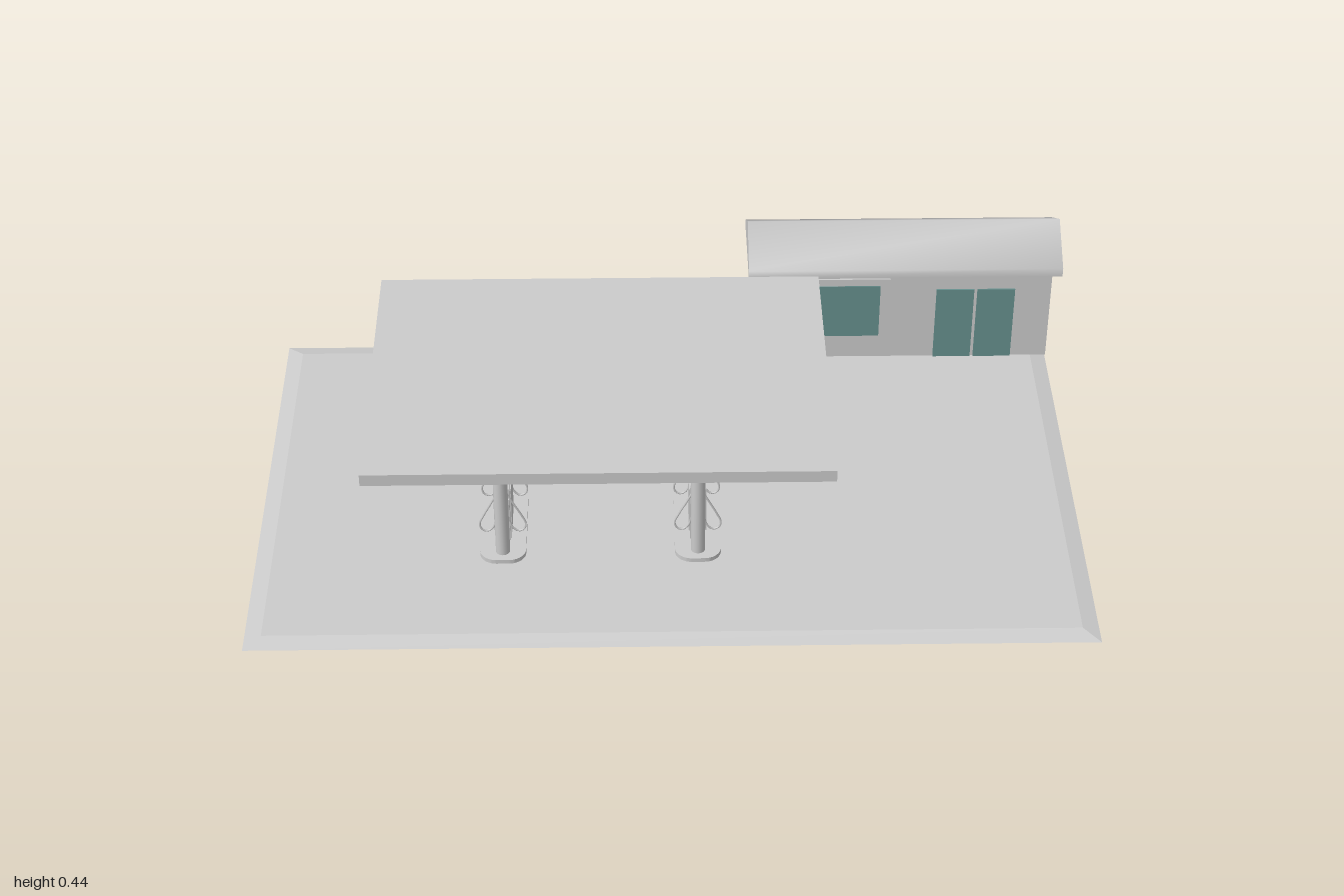
import * as THREE from 'three';
import { toCreasedNormals } from 'three/addons/utils/BufferGeometryUtils.js';

const grey = new THREE.MeshStandardMaterial({ color: 0xcccccc });
const glass = new THREE.MeshStandardMaterial({ color: 0x66908e });

function add(parent, name, geometry, material = grey) {
  const mesh = new THREE.Mesh(geometry, material);
  mesh.name = name;
  parent.add(mesh);
  return mesh;
}

// Box given by its minimum and maximum on each axis
function box(parent, name, [x0, x1], [y0, y1], [z0, z1], material) {
  const mesh = add(parent, name, new THREE.BoxGeometry(x1 - x0, y1 - y0, z1 - z0), material);
  mesh.position.set((x0 + x1) / 2, (y0 + y1) / 2, (z0 + z1) / 2);
  return mesh;
}

// Prism along x from a profile of [z, y] points
function prism(parent, name, profile, x0, x1, crease) {
  const shape = new THREE.Shape(profile.map(([z, y]) => new THREE.Vector2(-z, y)));
  const geometry = new THREE.ExtrudeGeometry(shape, { depth: x1 - x0, bevelEnabled: false });
  geometry.rotateY(Math.PI / 2).translate(x0, 0, 0);
  return add(parent, name, toCreasedNormals(geometry, crease));
}

// Rounded island slab lying flat
function islandGeometry(w, d, r, h) {
  const x = w / 2, y = d / 2;
  const s = new THREE.Shape();
  s.moveTo(-x + r, -y);
  s.lineTo(x - r, -y);
  s.absarc(x - r, -y + r, r, -Math.PI / 2, 0);
  s.absarc(x - r, y - r, r, 0, Math.PI / 2);
  s.absarc(-x + r, y - r, r, Math.PI / 2, Math.PI);
  s.absarc(-x + r, -y + r, r, Math.PI, Math.PI * 1.5);
  const g = new THREE.ExtrudeGeometry(s, { depth: h, bevelEnabled: false, curveSegments: 6 });
  return toCreasedNormals(g.rotateX(-Math.PI / 2), 0.6);
}

function pumpIsland() {
  const island = new THREE.Group();
  island.name = 'pumpIsland';
  add(island, 'islandBase', islandGeometry(0.11, 0.28, 0.04, 0.012)).position.set(0, 0.009, 0.23);

  for (const z of [0.13, 0.335]) {
    const column = add(island, 'column', new THREE.CylinderGeometry(0.017, 0.017, 0.395, 16));
    column.position.set(0, 0.2175, z);
  }

  // Dispenser with a raised panel on each broad face
  box(island, 'pumpBody', [-0.018, 0.018], [0.02, 0.175], [0.165, 0.295]);
  for (const side of [-1, 1]) {
    box(island, 'pumpPanel', [side * 0.019 - 0.002, side * 0.019 + 0.002], [0.035, 0.16], [0.178, 0.282]);
  }

  // Drooping hoses and nozzles on both ends
  for (const z of [0.162, 0.298]) {
    for (const side of [-1, 1]) {
      const path = [[0.012, 0.165], [0.027, 0.135], [0.045, 0.1], [0.055, 0.075], [0.05, 0.058], [0.036, 0.053], [0.022, 0.066], [0.014, 0.095]];
      const curve = new THREE.CatmullRomCurve3(path.map(([x, y]) => new THREE.Vector3(side * x, y, z)));
      add(island, 'hose', new THREE.TubeGeometry(curve, 24, 0.0025, 6));
      box(island, 'nozzle', [side * 0.013 - 0.004, side * 0.013 + 0.004], [0.085, 0.15], [z - 0.005, z + 0.005]);
    }
  }
  return island;
}

export function createModel() {
  const model = new THREE.Group();
  model.name = 'fillingStation';

  // Forecourt slab with sloping edges
  const slab = new THREE.BoxGeometry(1.98, 0.01, 1.19);
  const p = slab.attributes.position;
  for (let i = 0; i < p.count; i++) {
    if (p.getY(i) > 0) {
      p.setX(i, p.getX(i) - Math.sign(p.getX(i)) * 0.04);
      p.setZ(i, p.getZ(i) - Math.sign(p.getZ(i)) * 0.04);
    }
  }
  slab.computeVertexNormals();
  add(model, 'forecourt', slab).position.set(-0.01, 0.005, 0.065);

  // Pump islands under the canopy
  for (const x of [-0.41, 0.055]) {
    const island = pumpIsland();
    island.position.x = x;
    model.add(island);
  }

  // Canopy with lights underneath
  const canopy = new THREE.Group();
  canopy.name = 'canopy';
  model.add(canopy);
  box(canopy, 'canopyRoof', [-0.71, 0.36], [0.41, 0.44], [-0.2, 0.572]);
  for (const x of [-0.605, -0.165, 0.275]) {
    for (const z of [-0.135, 0.487]) {
      const light = add(canopy, 'canopyLight', new THREE.CylinderGeometry(0.018, 0.016, 0.008, 16));
      light.position.set(x, 0.407, z);
    }
  }

  // Shop
  const shop = new THREE.Group();
  shop.name = 'shop';
  model.add(shop);
  box(shop, 'walls', [0.225, 0.98], [0.01, 0.285], [-0.63, -0.459]);
  prism(shop, 'roof', [[-0.425, 0.28], [-0.425, 0.303], [-0.545, 0.376], [-0.665, 0.303], [-0.665, 0.28]].reverse(), 0.2, 1, 1.1);
  box(shop, 'windowFrame', [0.285, 0.565], [0.055, 0.255], [-0.465, -0.454]);
  box(shop, 'windowPane', [0.31, 0.54], [0.08, 0.235], [-0.465, -0.452], glass);
  for (const x of [0.685, 0.79]) {
    box(shop, 'door', [x, x + 0.097], [0.01, 0.22], [-0.465, -0.455], glass);
  }

  // Storage bin with a sloping lid beside the shop
  prism(model, 'storageBin', [[-0.505, 0.01], [-0.505, 0.1], [-0.455, 0.1], [-0.4, 0.053], [-0.4, 0.01]], 0.015, 0.21, 0.3);

  return model;
}
